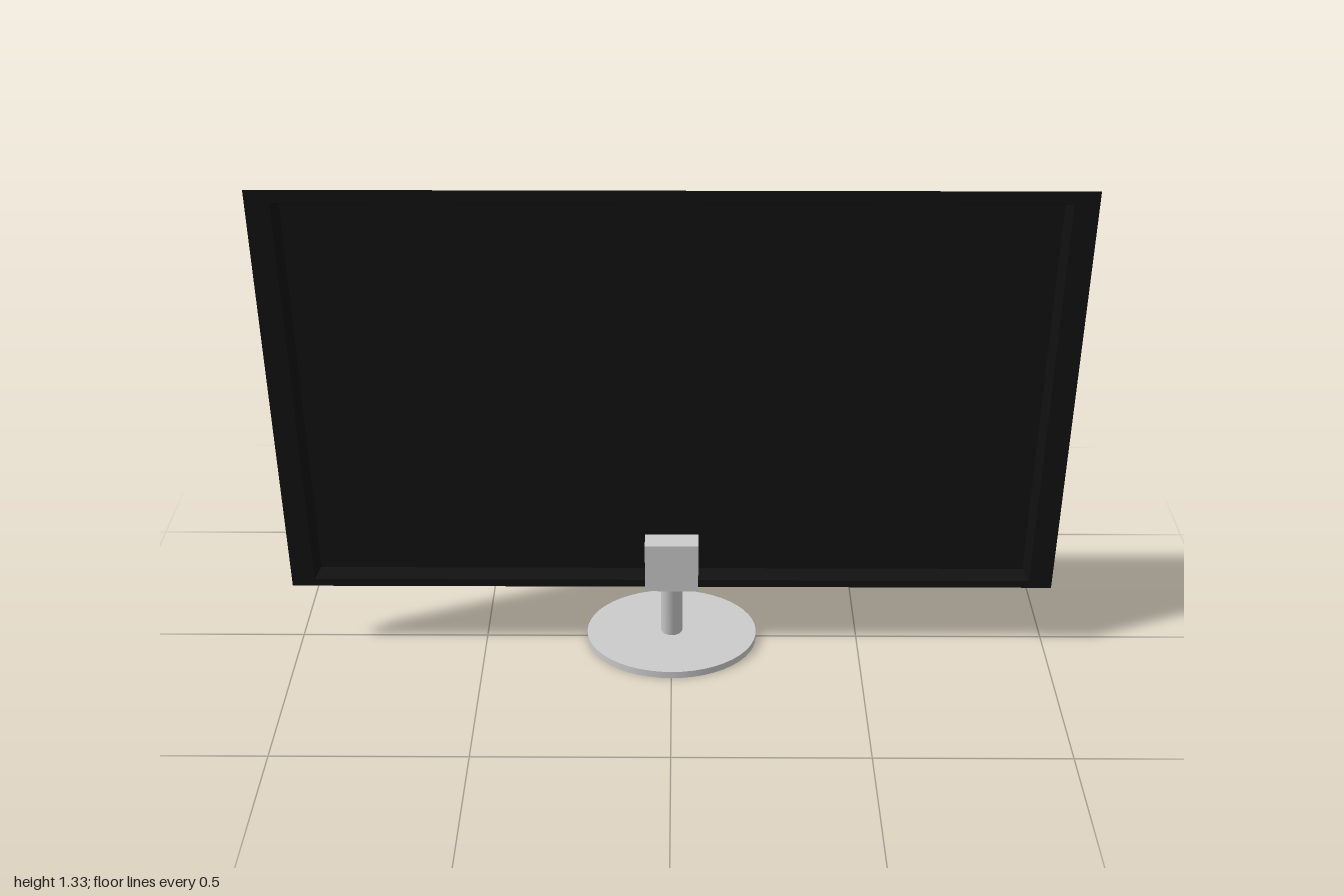
import * as THREE from 'three';

const grey = new THREE.MeshStandardMaterial({ color: 0xcccccc });
const black = new THREE.MeshStandardMaterial({ color: 0x111111 });

// Closed faceted solid through rectangular rings [halfWidth, bottom, top, z]
function ringSolid(rings) {
  const points = [], index = [];
  for (const [hx, y0, y1, z] of rings) {
    points.push(-hx, y0, z, hx, y0, z, hx, y1, z, -hx, y1, z);
  }
  for (let r = 0; r < rings.length - 1; r++) {
    for (let i = 0; i < 4; i++) {
      const a = r * 4 + i, b = r * 4 + (i + 1) % 4;
      index.push(a, b, b + 4, a, b + 4, a + 4);
    }
  }
  const e = (rings.length - 1) * 4;
  index.push(0, 2, 1, 0, 3, 2, e, e + 1, e + 2, e, e + 2, e + 3);
  const indexed = new THREE.BufferGeometry();
  indexed.setAttribute('position', new THREE.Float32BufferAttribute(points, 3));
  indexed.setIndex(index);
  const geometry = indexed.toNonIndexed();
  geometry.computeVertexNormals();
  return geometry;
}

export function createModel() {
  const model = new THREE.Group();
  const add = (name, geometry, material, x = 0, y = 0, z = 0) => {
    const mesh = new THREE.Mesh(geometry, material);
    mesh.name = name;
    mesh.position.set(x, y, z);
    model.add(mesh);
    return mesh;
  };

  // Screen housing: flared sides, narrow front rim, recessed display
  add('screenHousing', ringSolid([
    [0.93, 0.217, 1.268, 0],
    [1, 0.2, 1.325, 0.053],
    [0.94, 0.222, 1.292, 0.053],
    [0.93, 0.226, 1.27, 0.004],
  ]), black);

  // Mounting block
  add('mountBlock', new THREE.BoxGeometry(0.14, 0.142, 0.06), grey, 0, 0.262, 0.031);

  // Leaning stem, from inside the base to inside the block
  const foot = new THREE.Vector3(0, 0.012, -0.006);
  const head = new THREE.Vector3(0, 0.208, 0.027);
  const stem = add('stem', new THREE.CylinderGeometry(0.029, 0.029, foot.distanceTo(head), 32), grey);
  stem.position.copy(foot).lerp(head, 0.5);
  stem.quaternion.setFromUnitVectors(new THREE.Vector3(0, 1, 0), head.clone().sub(foot).normalize());

  // Oval base plate
  const base = new THREE.CylinderGeometry(1, 1, 0.02, 48);
  base.scale(0.228, 1, 0.185);
  add('base', base, grey, 0, 0.01, 0);

  return model;
}
